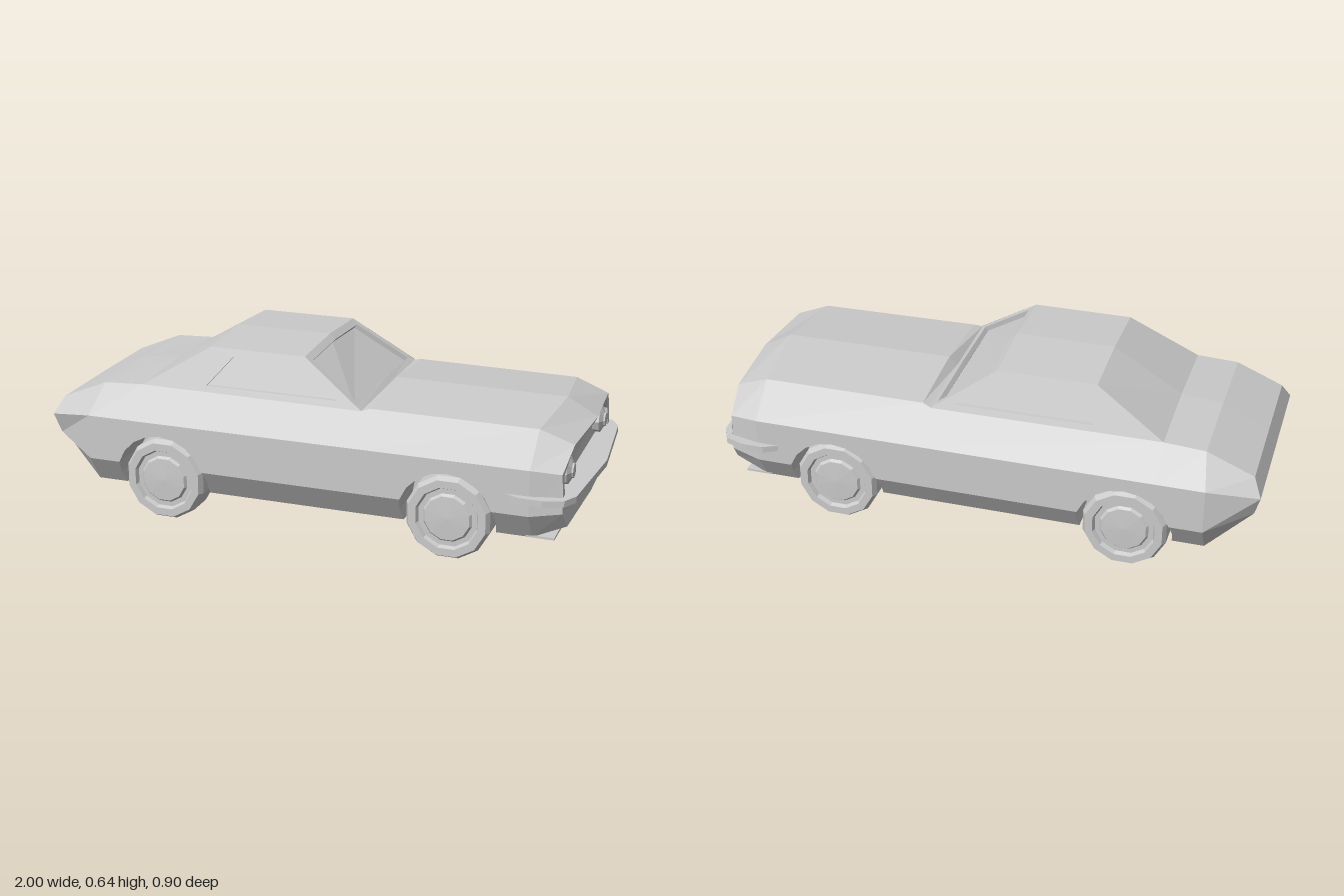
import * as THREE from 'three';

const paint = new THREE.MeshStandardMaterial({ color: 0xcccccc, flatShading: true, side: THREE.DoubleSide });
const solid = new THREE.MeshStandardMaterial({ color: 0xcccccc, flatShading: true });

const flip = ([x, y, z]) => [x, y, -z];
// half section running to the centre line, completed by its mirror image
const ring = (half) => [...half, ...half.slice(0, -1).reverse().map(flip)];

// skin between successive rows of points
function loft(rows, closed = false) {
  const tris = [];
  for (let i = 0; i + 1 < rows.length; i++) {
    const a = rows[i], b = rows[i + 1], n = a.length;
    for (let j = 0; j < (closed ? n : n - 1); j++) {
      const k = (j + 1) % n;
      tris.push(a[j], b[j], b[k], a[j], b[k], a[k]);
    }
  }
  return tris;
}

const fan = (p) => p.slice(1, -1).flatMap((q, i) => [p[0], q, p[i + 2]]);

// flat frame around a sunken panel
function recess(outer, inner, offset) {
  const sunk = inner.map((p) => p.map((v, i) => v + offset[i]));
  return [...loft([outer, inner, sunk], true), ...fan(sunk)];
}

function surface(name, tris) {
  const g = new THREE.BufferGeometry();
  g.setAttribute('position', new THREE.Float32BufferAttribute(tris.flat(), 3));
  g.computeVertexNormals();
  const m = new THREE.Mesh(g, paint);
  m.name = name;
  return m;
}

const AXLES = [-0.54, 0.53], HUB = 0.155, ARCH = 0.172;
const FLOOR = 0.11, CREASE = 0.21, BELT = 0.375, WELL = 0.245;
const LOW = Math.asin((FLOOR - HUB) / ARCH), MID = Math.asin((CREASE - HUB) / ARCH);

// body side leans in below the crease
const sideZ = (y) => (y >= CREASE ? 0.425 : 0.36 + 0.065 * (y - FLOOR) / (CREASE - FLOOR));

function arc(cx, from, to, n) {
  return Array.from({ length: n + 1 }, (_, i) => {
    const a = from + (to - from) * i / n;
    return [cx + ARCH * Math.cos(a), HUB + ARCH * Math.sin(a)];
  });
}

// flat outline placed on the body side
function sidePanel(name, pts, s) {
  const g = new THREE.ShapeGeometry(new THREE.Shape(pts.map((p) => new THREE.Vector2(...p)))).toNonIndexed();
  const p = g.attributes.position;
  for (let i = 0; i < p.count; i++) p.setZ(i, s * sideZ(p.getY(i)));
  g.computeVertexNormals();
  const m = new THREE.Mesh(g, paint);
  m.name = name;
  return m;
}

function bodySide(s) {
  const g = new THREE.Group();
  g.name = s > 0 ? 'rightFlank' : 'leftFlank';
  const [r, f] = AXLES;
  g.add(sidePanel('doorPanel', [[-0.82, CREASE], ...arc(r, Math.PI - MID, MID, 8),
    ...arc(f, Math.PI - MID, MID, 8), [0.82, CREASE], [0.82, BELT], [-0.82, BELT]], s));
  // three sills, split by the wheel openings
  const front = (x) => arc(x, MID, LOW, 2), back = (x) => arc(x, Math.PI - LOW, Math.PI - MID, 2);
  g.add(sidePanel('rearSill', [[-0.82, CREASE], [-0.82, FLOOR], ...back(r)], s));
  g.add(sidePanel('middleSill', [...front(r), ...back(f)], s));
  g.add(sidePanel('frontSill', [...front(f), [0.82, FLOOR], [0.82, CREASE]], s));
  for (const x of AXLES) {
    const edge = [...arc(x, Math.PI - LOW, Math.PI - MID, 2), ...arc(x, Math.PI - MID, MID, 8).slice(1),
      ...arc(x, MID, LOW, 2).slice(1)];
    const inside = edge.map(([a, b]) => [a, b, s * WELL]);
    g.add(surface('wheelWell', [...loft([edge.map(([a, b]) => [a, b, s * sideZ(b)]), inside]), ...fan(inside)]));
  }
  return g;
}

function floorPan() {
  const dx = ARCH * Math.cos(LOW);
  const edge = [[-0.82, 0.36], ...AXLES.flatMap((x) =>
    [[x - dx, 0.36], [x - dx, WELL], [x + dx, WELL], [x + dx, 0.36]]), [0.82, 0.36]];
  const pts = [...edge, ...edge.map(([x, z]) => [x, -z]).reverse()];
  const g = new THREE.ShapeGeometry(new THREE.Shape(pts.map((p) => new THREE.Vector2(...p))));
  g.rotateX(Math.PI / 2).translate(0, FLOOR, 0);
  const m = new THREE.Mesh(g, paint);
  m.name = 'floorPan';
  return m;
}

function wheel(x, s) {
  const g = new THREE.Group();
  g.name = 'wheel';
  // tyre, rim step and hub in one turned profile; the axis points outwards
  const profile = [[0, -0.06], [0.1, -0.06], [0.115, -0.073], [0.143, -0.073], [0.155, -0.052], [0.155, 0.052],
    [0.143, 0.073], [0.115, 0.073], [0.108, 0.058], [0.09, 0.058], [0.082, 0.068], [0, 0.072]];
  const geo = new THREE.LatheGeometry(profile.map((p) => new THREE.Vector2(...p)), 12, Math.PI / 12);
  const m = new THREE.Mesh(geo, solid);
  m.name = 'tyreAndHub';
  m.rotation.x = s * Math.PI / 2;
  g.add(m);
  g.position.set(x, 0.151, s * 0.328);
  return g;
}

export function createModel() {
  const car = new THREE.Group();
  car.name = 'car';

  // tail, tapering to a blunt ridge
  const tailEnd = [[-0.97, 0.24, 0.31], [-0.98, 0.265, 0.34], [-1, 0.34, 0.36], [-0.97, 0.4, 0.32], [-0.97, 0.402, 0]];
  const tailStart = [[-0.82, FLOOR, 0.36], [-0.82, CREASE, 0.425], [-0.82, BELT, 0.425], [-0.8, 0.472, 0.32], [-0.8, 0.478, 0]];
  car.add(surface('tail', [...loft([ring(tailEnd), ring(tailStart)], true),
    ...loft(tailEnd.slice(0, 4).map((p) => [p, flip(p)]))]));

  // shoulders, boot lid and bonnet
  const deck = [[-0.65, 0.48, 0.317, 0.492], [0.19, 0.476, 0.315, 0.478], [0.22, 0.484, 0.305, 0.507]]
    .map(([x, y, z, top]) => ring([[x, BELT, 0.425], [x, y, z], [x, top, 0]]));
  const noseStart = [[0.82, FLOOR, 0.36], [0.82, CREASE, 0.425], [0.82, BELT, 0.425], [0.82, 0.48, 0.3], [0.85, 0.503, 0]];
  car.add(surface('upperBody', loft([ring(tailStart.slice(2)), ...deck, ring(noseStart.slice(2))])));
  car.add(bodySide(1), bodySide(-1), floorPan());

  // nose with sunken grille and lower apron
  const noseEnd = [[0.94, 0.165, 0.355], [0.93, 0.225, 0.4], [0.925, 0.365, 0.4], [0.94, 0.435, 0.29], [0.96, 0.443, 0]];
  car.add(surface('nose', loft([ring(noseStart), ring(noseEnd)], true)));
  const grilleOuter = ring([[0.93, 0.275, 0.4], ...noseEnd.slice(2)]);
  const grilleInner = ring([[0.93, 0.28, 0.37], [0.925, 0.35, 0.37], [0.935, 0.42, 0.285], [0.95, 0.421, 0]]);
  car.add(surface('grille', recess(grilleOuter, grilleInner, [-0.03, 0, 0])));
  car.add(surface('apron', loft([[0.93, 0.28, 0.4], noseEnd[1], noseEnd[0]].map((p) => [p, [0.95, p[1], 0], flip(p)]))));
  const lip = new THREE.Mesh(new THREE.BoxGeometry(0.1, 0.008, 0.73), solid);
  lip.name = 'chinSpoiler';
  lip.position.set(0.85, 0.115, 0);
  car.add(lip);

  // wraparound bumper
  const b = [[0.73, 0.42], [0.79, 0.45], [0.87, 0.45], [0.94, 0.425], [0.97, 0.37], [1, 0]];
  const bInner = [[0.92, 0], [0.91, 0.38], [0.82, 0.41]];
  const outline = [...b, ...b.slice(0, -1).reverse().map(([x, z]) => [x, -z]),
    ...bInner.slice(1).reverse().map(([x, z]) => [x, -z]), ...bInner];
  const bumperGeo = new THREE.ExtrudeGeometry(new THREE.Shape(outline.map((p) => new THREE.Vector2(...p))),
    { depth: 0.023, bevelEnabled: false });
  bumperGeo.rotateX(Math.PI / 2);
  const bumper = new THREE.Mesh(bumperGeo, solid);
  bumper.name = 'frontBumper';
  bumper.position.y = 0.284;
  car.add(bumper);

  // cabin: sloping rear, roof, windscreen and side windows
  const roof = [[-0.65, 0.48, 0.317, 0.492], [-0.4, 0.632, 0.258, 0.645], [-0.04, 0.632, 0.258, 0.645]]
    .map(([x, y, z, top]) => ring([[x, y, z], [x, top, 0]]));
  car.add(surface('roof', loft(roof)));
  const screenX = (y) => 0.19 - 0.23 * (y - 0.476) / 0.156;
  const screen = (y0, z0, c0, y1, z1, c1) => [[y0, z0], [c0, 0], [y0, -z0], [y1, -z1], [c1, 0], [y1, z1]]
    .map(([y, z]) => [screenX(z ? y : (y === c0 ? y0 : y1)), y, z]);
  car.add(surface('windscreen', recess(screen(0.476, 0.315, 0.478, 0.632, 0.258, 0.645),
    screen(0.49, 0.288, 0.494, 0.616, 0.236, 0.627), [-0.012, -0.014, 0])));
  const cabinZ = (y) => 0.317 - 0.059 * (y - 0.48) / 0.152;
  for (const s of [1, -1]) {
    const at = ([x, y]) => [x, y, s * cabinZ(y)];
    car.add(surface('sideWindow', recess([[-0.65, 0.48], [-0.4, 0.632], [-0.04, 0.632], [0.19, 0.476]].map(at),
      [[-0.4, 0.5], [-0.31, 0.605], [-0.05, 0.605], [0.1, 0.5]].map(at), [0, 0, -s * 0.014])));

    // headlamps
    const lamp = new THREE.Mesh(new THREE.LatheGeometry([[0.05, -0.03], [0.05, 0.012], [0.027, 0.024], [0.025, 0.03], [0, 0.034]]
      .map((p) => new THREE.Vector2(...p)), 9), solid);
    lamp.name = 'headlamp';
    lamp.rotation.z = -Math.PI / 2;
    lamp.position.set(0.91, 0.338, s * 0.275);
    car.add(lamp);

    for (const x of AXLES) car.add(wheel(x, s));
  }
  return car;
}
